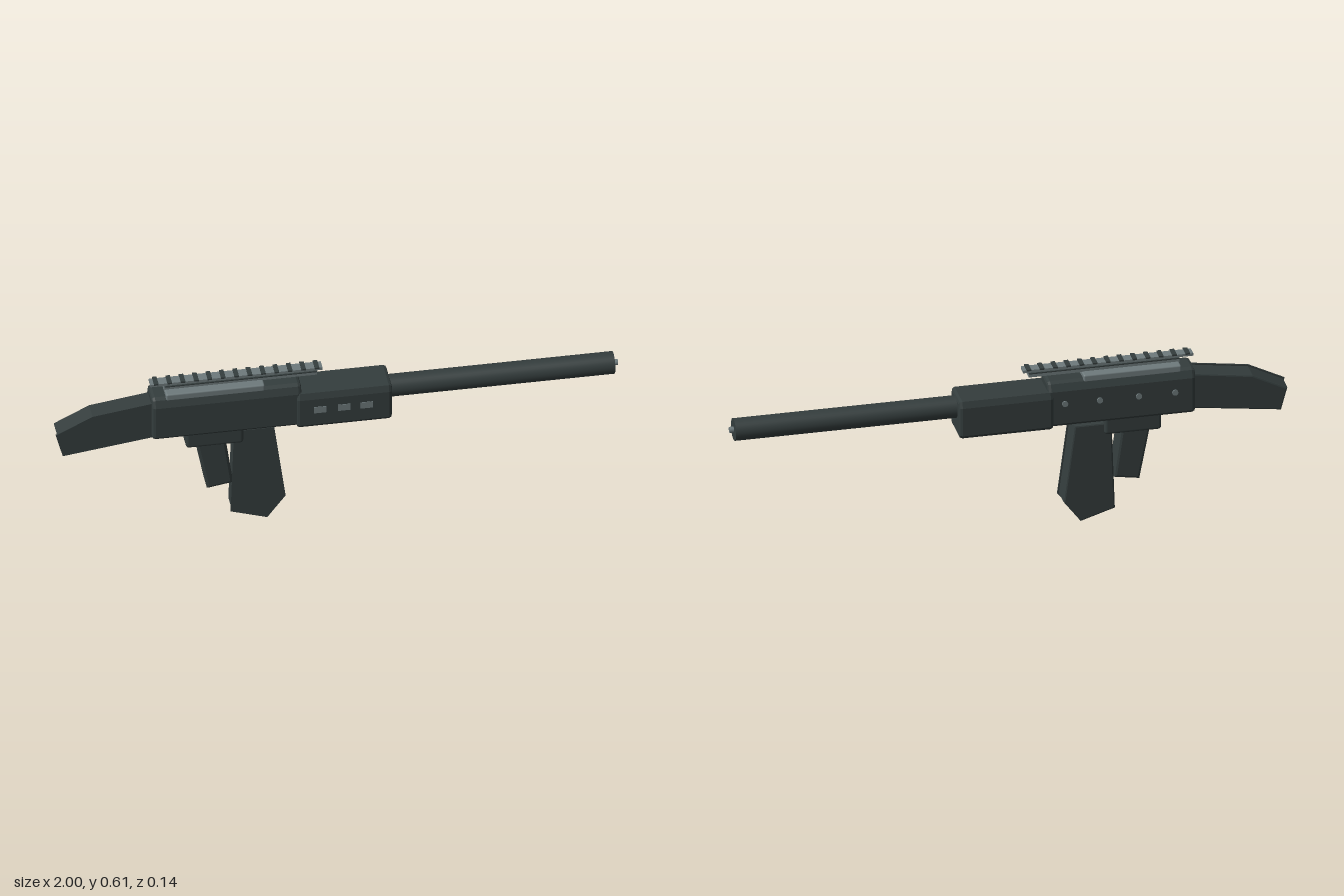
import * as THREE from 'three';
import { RoundedBoxGeometry } from 'three/addons/geometries/RoundedBoxGeometry.js';

export function createModel() {
  const model = new THREE.Group();
  const dark = new THREE.MeshStandardMaterial({ color: 0x343d3d });
  dark.name = 'dark gunmetal';
  const grey = new THREE.MeshStandardMaterial({ color: 0x6e7a7c });
  grey.name = 'light steel';

  function add(name, geometry, material, x = 0, y = 0, z = 0) {
    const mesh = new THREE.Mesh(geometry, material);
    mesh.name = name;
    mesh.position.set(x, y, z);
    model.add(mesh);
    return mesh;
  }
  const outline = (pts) => new THREE.Shape(pts.map(([x, y]) => new THREE.Vector2(x, y)));

  // Bevelled extrusion that stays inside the outline, centred on its depth
  function slab(pts, depth, bevel, inset = 0) {
    const g = new THREE.ExtrudeGeometry(outline(pts), {
      depth: depth - 2 * bevel, bevelEnabled: true, bevelSize: bevel,
      bevelThickness: bevel, bevelOffset: -bevel - inset, bevelSegments: 2,
    });
    g.translate(0, 0, bevel - depth / 2);
    return g;
  }

  // Symmetric cross-section (half width, height) run along x
  function bodyAlongX(name, half, x0, x1, bevel) {
    const pts = [...half, ...half.slice().reverse().map(([z, y]) => [-z, y])];
    const g = slab(pts, x1 - x0, bevel);
    g.rotateY(Math.PI / 2);
    return add(name, g, dark, (x0 + x1) / 2);
  }

  // Receiver and handguard
  bodyAlongX('receiver', [[0.053, 0.4], [0.061, 0.41], [0.061, 0.535], [0.05, 0.562], [0.035, 0.568]], -0.66, -0.13, 0.012);
  bodyAlongX('handguard', [[0.06, 0.393], [0.069, 0.405], [0.069, 0.512], [0.061, 0.536]], -0.15, 0.19, 0.012);

  // Barrel with muzzle tip
  add('barrel', new THREE.CylinderGeometry(0.04, 0.04, 0.82, 32), dark, 0.575, 0.49).rotation.z = -Math.PI / 2;
  add('muzzleTip', new THREE.CylinderGeometry(0.011, 0.011, 0.04, 16), grey, 0.98, 0.49).rotation.z = -Math.PI / 2;

  // Stock and magazine: bevelled body with a full-size plate on the front side
  function platedPart(name, pts, depth) {
    add(name, slab(pts, depth, 0.006, 0.005), dark);
    const plate = new THREE.ExtrudeGeometry(outline(pts), { depth: 0.006, bevelEnabled: false });
    add(name + 'FrontPlate', plate, dark, 0, 0, depth / 2 - 0.005);
  }
  platedPart('stock', [[-1, 0.45], [-0.975, 0.358], [-0.645, 0.402], [-0.645, 0.547], [-0.87, 0.515]], 0.08);
  platedPart('magazine', [[-0.38, 0.045], [-0.25, 0.004], [-0.185, 0.09], [-0.225, 0.39], [-0.368, 0.39]], 0.082);

  // Trigger housing and rear grip
  add('triggerHousing', new RoundedBoxGeometry(0.205, 0.075, 0.106, 2, 0.012), dark, -0.437, 0.38);
  add('grip', slab([[-0.463, 0.153], [-0.37, 0.168], [-0.397, 0.36], [-0.503, 0.36]], 0.086, 0.01), dark);

  // Three light inlays on the front of the handguard
  for (const x of [-0.067, 0.018, 0.098]) {
    add('handguardInlay', new THREE.BoxGeometry(0.043, 0.026, 0.008), grey, x, 0.467, 0.067);
  }

  // Four pins on the back of the receiver
  for (const x of [-0.19, -0.315, -0.455, -0.585]) {
    add('receiverPin', new THREE.CylinderGeometry(0.011, 0.011, 0.012, 12), grey, x, 0.487, -0.06).rotation.x = Math.PI / 2;
  }

  // Rail mount, rail and cross teeth
  add('railBase', new RoundedBoxGeometry(0.35, 0.028, 0.102, 2, 0.006), grey, -0.435, 0.57);
  add('railCore', new THREE.BoxGeometry(0.54, 0.024, 0.036), grey, -0.34, 0.594);
  add('railLowerFlange', new THREE.BoxGeometry(0.54, 0.004, 0.046), dark, -0.34, 0.598);
  add('railTop', new THREE.BoxGeometry(0.61, 0.01, 0.038), grey, -0.355, 0.606);
  for (let i = 0; i < 13; i++) {
    add('railTooth', new THREE.BoxGeometry(0.016, 0.006, 0.046), dark, -0.64 + i * 0.0475, 0.612);
  }
  return model;
}
